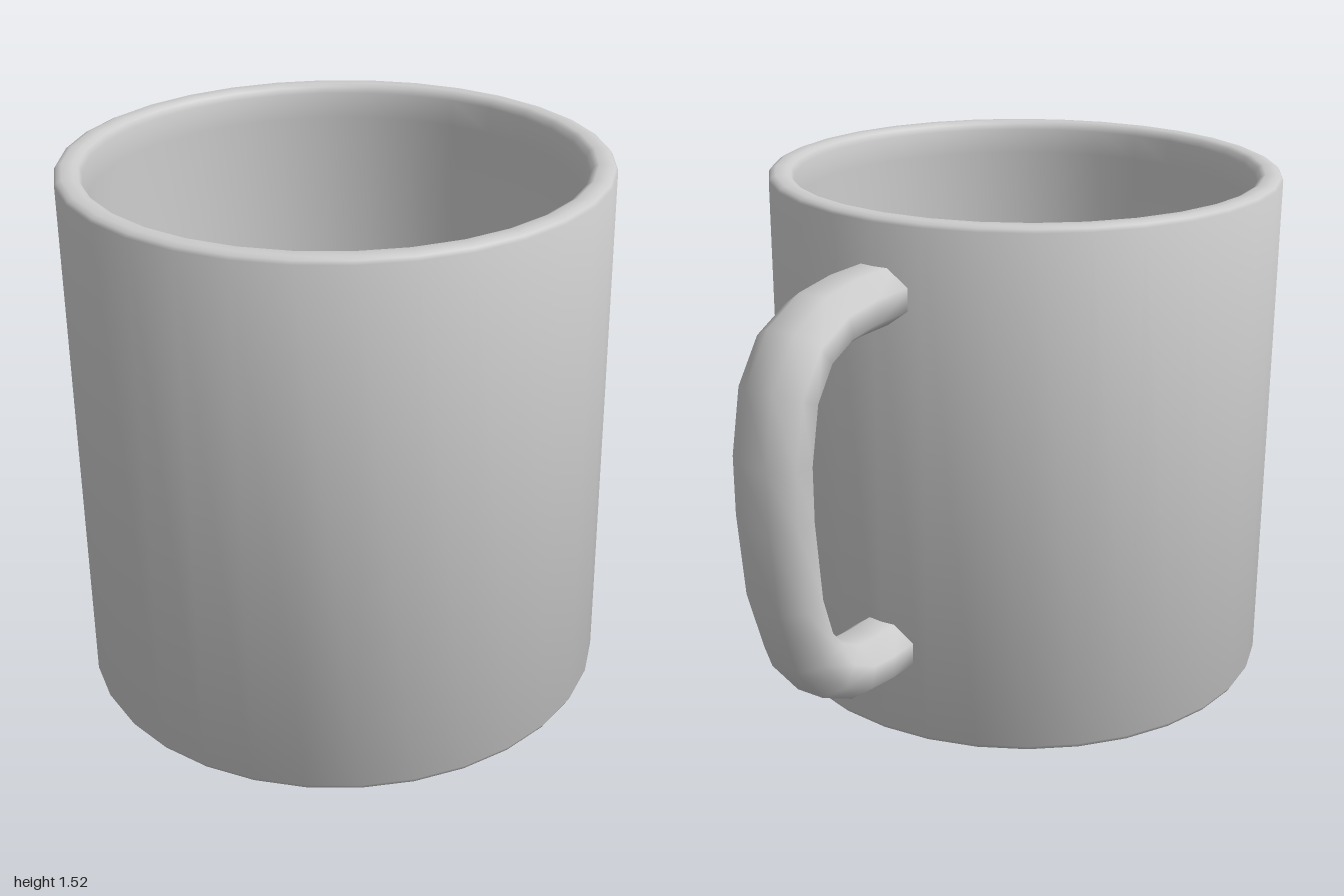
import * as THREE from 'three';
import { toCreasedNormals } from 'three/addons/utils/BufferGeometryUtils.js';

const SEGMENTS = 32;
const BODY_Z = 0.255;

// Sweeps an eight-sided oval section along a path lying in the yz plane
function sweepOval(path, halfWidth, halfDepth, sides = 8) {
  const positions = [], index = [];
  const side = new THREE.Vector3(1, 0, 0);
  const grow = 1 / Math.cos(Math.PI / sides); // flats, not corners, reach the full size
  path.forEach((p, i) => {
    const before = path[Math.max(i - 1, 0)];
    const after = path[Math.min(i + 1, path.length - 1)];
    const tIn = p.clone().sub(before).normalize();
    const tOut = after.clone().sub(p).normalize();
    const normal = side.clone().cross(tIn.add(tOut).normalize());
    for (let j = 0; j < sides; j++) {
      const a = ((j + 0.5) / sides) * Math.PI * 2;
      const v = p.clone()
        .addScaledVector(side, halfWidth * grow * Math.cos(a))
        .addScaledVector(normal, halfDepth * grow * Math.sin(a));
      positions.push(v.x, v.y, v.z);
      if (i < path.length - 1) {
        const k = (j + 1) % sides, r = i * sides, s = r + sides;
        index.push(r + j, s + j, s + k, r + j, s + k, r + k);
      }
    }
  });
  const geometry = new THREE.BufferGeometry();
  geometry.setAttribute('position', new THREE.Float32BufferAttribute(positions, 3));
  geometry.setIndex(index);
  geometry.computeVertexNormals();
  return geometry;
}

export function createModel() {
  const group = new THREE.Group();
  group.name = 'mug';
  const material = new THREE.MeshStandardMaterial({ color: 0xcccccc, side: THREE.DoubleSide });

  // Cup wall: hollowed underside, outer wall, rounded rim, inner wall, sloped floor edge
  const profile = [
    [0, 0.05], [0.35, 0.05], [0.67, 0.012], [0.695, 0.002], [0.715, 0], [0.738, 0.007], [0.745, 0.02],
    [0.745, 1.505], [0.739, 1.514], [0.725, 1.52], [0.695, 1.52], [0.681, 1.513], [0.673, 1.495],
    [0.67, 1.42], [0.67, 0.3], [0.662, 0.25], [0.646, 0.205], [0.62, 0.16], [0.59, 0.12], [0, 0.12],
  ].map(([r, y]) => new THREE.Vector2(r, y));
  const cup = new THREE.Mesh(
    toCreasedNormals(new THREE.LatheGeometry(profile, SEGMENTS), 0.8), material);
  cup.name = 'cup';
  cup.position.z = BODY_Z;
  group.add(cup);

  // Handle: oval loop whose ends sink into the cup wall, given as [z, y]
  const path = [
    [-0.45, 1.31], [-0.61, 1.31], [-0.72, 1.297], [-0.82, 1.25], [-0.89, 1.15],
    [-0.923, 0.985], [-0.923, 0.83], [-0.9, 0.6], [-0.845, 0.43],
    [-0.765, 0.335], [-0.665, 0.285], [-0.57, 0.275], [-0.45, 0.275],
  ].map(([z, y]) => new THREE.Vector3(0, y, z));
  const handle = new THREE.Mesh(sweepOval(path, 0.102, 0.077), material);
  handle.name = 'handle';
  group.add(handle);

  return group;
}
